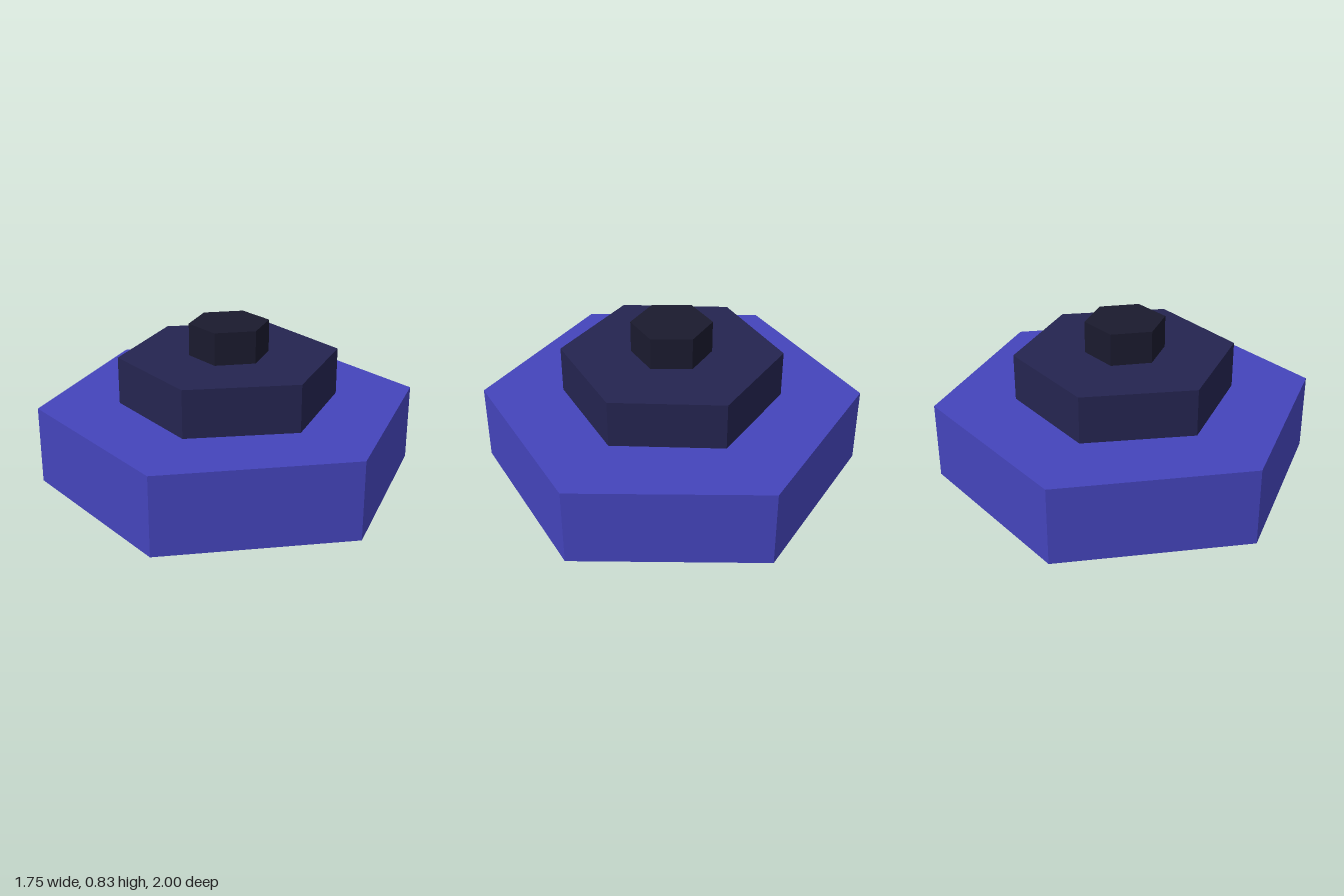
import * as THREE from 'three';

// One hexagonal slab standing between two heights, turned slightly about y
function hexTier(name, radius, bottom, top, turn, color) {
  const geometry = new THREE.CylinderGeometry(radius, radius, top - bottom, 6);
  const material = new THREE.MeshStandardMaterial({ color, flatShading: true });
  const mesh = new THREE.Mesh(geometry, material);
  mesh.name = name;
  mesh.position.y = (bottom + top) / 2;
  mesh.rotation.y = turn;
  return mesh;
}

export function createModel() {
  const model = new THREE.Group();
  model.name = 'steppedHexagon';
  model.add(
    hexTier('baseTier', 1, 0, 0.413, -0.018, 0x4444bb),
    hexTier('middleTier', 0.578, 0.413, 0.664, -0.046, 0x242450),
    hexTier('topTier', 0.21, 0.664, 0.835, -0.005, 0x1a1a2e),
  );
  return model;
}
